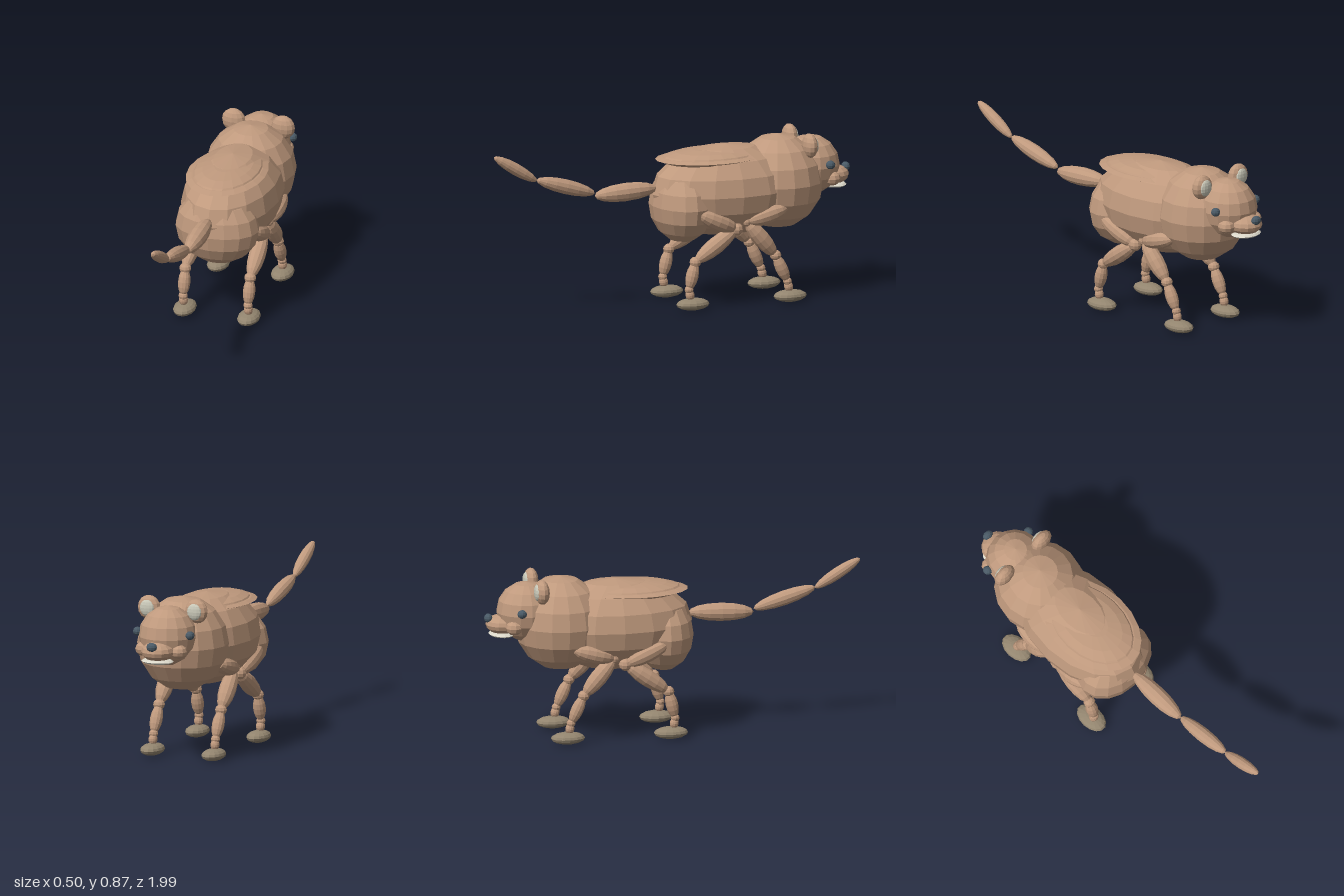
import * as THREE from 'three';

const mat = (name, color) => {
  const m = new THREE.MeshStandardMaterial({ color, flatShading: true });
  m.name = name;
  return m;
};

export function createModel() {
  const fur = mat('brown fur', 0xbf997d);
  const paw = mat('paw taupe', 0x93856f);
  const dark = mat('slate eyes and nose', 0x4a5a66);
  const pale = mat('pale inner ear', 0xc9c8b8);
  const lip = mat('mouth cream', 0xdcd8ca);

  const model = new THREE.Group();
  model.name = 'animal';

  // Ellipsoid given by centre and radii
  const blob = (name, parent, material, pos, radii, seg = 16, rings = 8) => {
    const mesh = new THREE.Mesh(new THREE.SphereGeometry(1, seg, rings), material);
    mesh.name = name;
    mesh.position.set(...pos);
    mesh.scale.set(...radii);
    parent.add(mesh);
    return mesh;
  };

  // Spindle stretched between two points
  const up = new THREE.Vector3(0, 1, 0);
  const spindle = (name, parent, material, a, b, r) => {
    const from = new THREE.Vector3(...a), to = new THREE.Vector3(...b);
    const dir = to.clone().sub(from);
    const mid = from.add(to).multiplyScalar(0.5).toArray();
    const mesh = blob(name, parent, material, mid, [r, dir.length() / 2, r], 12, 8);
    mesh.quaternion.setFromUnitVectors(up, dir.normalize());
    return mesh;
  };

  // Body masses
  blob('torso', model, fur, [0, 0.59, -0.3], [0.25, 0.24, 0.41]);
  blob('rump', model, fur, [0, 0.53, -0.05], [0.225, 0.2, 0.16]);
  blob('chest', model, fur, [0, 0.61, -0.59], [0.238, 0.248, 0.24]);

  // Back plate: thin rim with a low dome on top
  const back = new THREE.Group();
  back.name = 'backPlate';
  model.add(back);
  blob('backRim', back, fur, [0, 0.766, -0.21], [0.205, 0.021, 0.295], 20, 6);
  blob('backDome', back, fur, [0, 0.766, -0.22], [0.178, 0.048, 0.275], 20, 8);

  // Tail
  const tail = new THREE.Group();
  tail.name = 'tail';
  model.add(tail);
  spindle('tailBase', tail, fur, [0, 0.625, 0.09], [0, 0.61, 0.435], 0.049);
  spindle('tailMiddle', tail, fur, [0, 0.625, 0.435], [0, 0.723, 0.762], 0.039);
  spindle('tailTip', tail, fur, [0, 0.717, 0.76], [0, 0.863, 1], 0.031);

  // Head
  const head = new THREE.Group();
  head.name = 'head';
  model.add(head);
  blob('skull', head, fur, [0, 0.68, -0.77], [0.153, 0.157, 0.157]);
  blob('muzzle', head, fur, [0, 0.618, -0.895], [0.088, 0.052, 0.09], 14, 8);
  blob('mouth', head, lip, [0, 0.567, -0.9], [0.088, 0.016, 0.068], 16, 6);
  blob('nose', head, dark, [0, 0.652, -0.972], [0.03, 0.024, 0.022], 10, 6);

  for (const s of [1, -1]) {
    const side = s > 0 ? 'left' : 'right';
    blob(side + 'Cheek', head, fur, [s * 0.1, 0.617, -0.855], [0.045, 0.038, 0.046], 10, 6);
    blob(side + 'Eye', head, dark, [s * 0.15, 0.7, -0.825], [0.024, 0.023, 0.025], 10, 6);
    blob(side + 'Ear', head, fur, [s * 0.135, 0.808, -0.715], [0.064, 0.064, 0.038], 12, 8);
    blob(side + 'InnerEar', head, pale, [s * 0.135, 0.808, -0.74], [0.042, 0.044, 0.018], 12, 8);

    // Legs: haunch, joint, upper leg, knee, lower leg, ankle, paw as [y, z] points
    const legs = [
      { name: 'Hind', haunch: [0.515, -0.06], joint: [0.412, -0.285], jointR: 0.035,
        knee: [0.255, -0.055], ankle: [0.112, -0.02], foot: [0.055, -0.03], pawZ: -0.042 },
      { name: 'Front', haunch: [0.505, -0.565], joint: [0.446, -0.342], jointR: 0.025,
        knee: [0.255, -0.505], ankle: [0.112, -0.572], foot: [0.055, -0.585], pawZ: -0.588 },
    ];
    for (const l of legs) {
      const leg = new THREE.Group();
      leg.name = side + l.name + 'Leg';
      model.add(leg);
      const at = (p, x = 0.177) => [s * x, ...p];
      spindle('haunch', leg, fur, at(l.haunch, 0.192), at(l.joint, 0.185), 0.047);
      blob('hipJoint', leg, fur, at(l.joint, 0.182), Array(3).fill(l.jointR), 10, 6);
      spindle('upperLeg', leg, fur, at(l.joint), at(l.knee), 0.045);
      blob('knee', leg, fur, at(l.knee), [0.032, 0.028, 0.03], 10, 6);
      spindle('lowerLeg', leg, fur, at(l.knee), at(l.ankle), 0.033);
      blob('ankle', leg, fur, at(l.ankle), [0.025, 0.022, 0.023], 10, 6);
      spindle('pastern', leg, fur, at(l.ankle), at(l.foot), 0.024);
      blob('paw', leg, paw, [s * 0.175, 0.034, l.pawZ], [0.058, 0.032, 0.09], 14, 8);
    }
  }
  return model;
}
